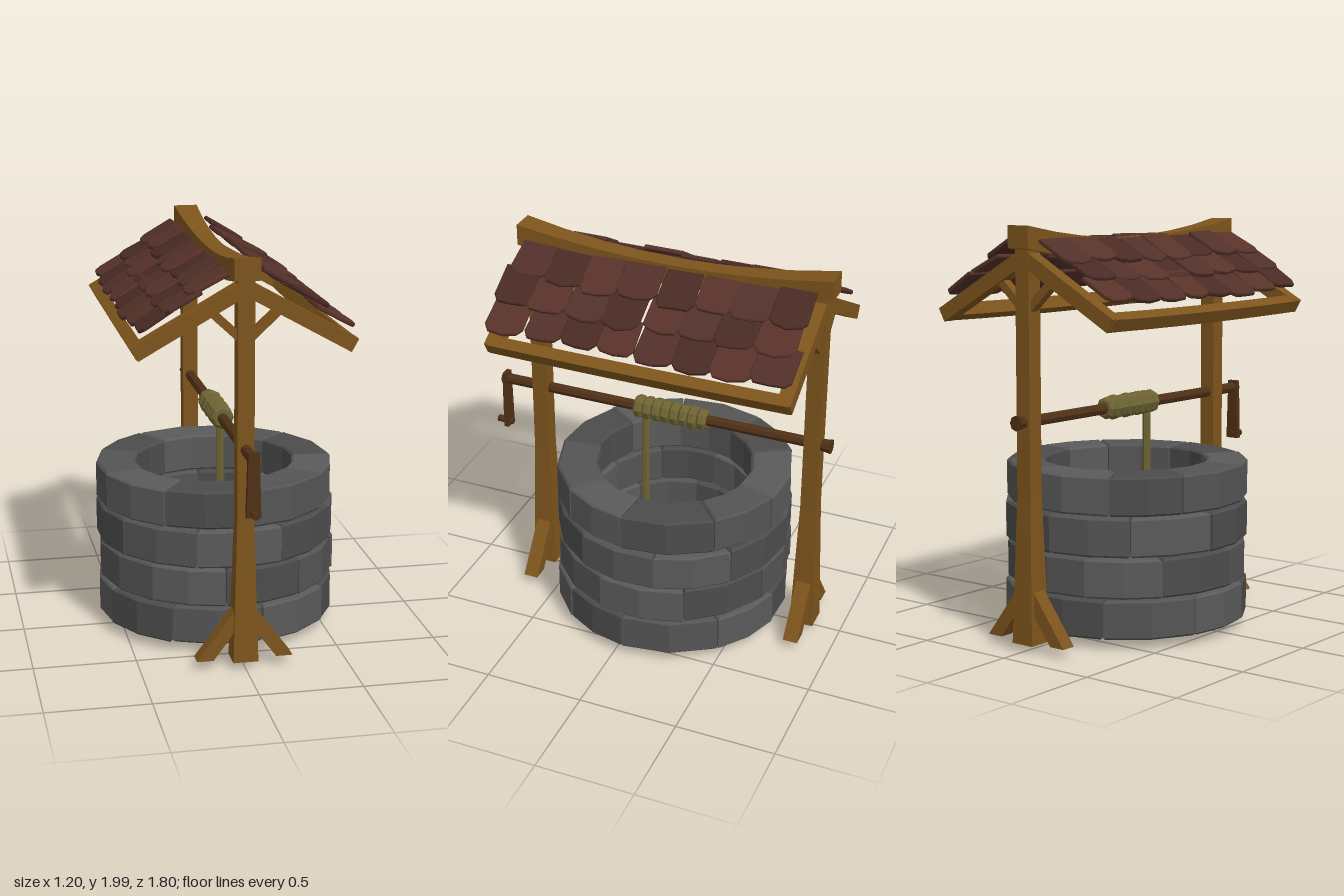
import * as THREE from 'three';

const mat = (color) => new THREE.MeshStandardMaterial({ color, flatShading: true, side: THREE.DoubleSide });
const wood = mat(0x7d541c), darkWood = mat(0x4f3016), ropeMat = mat(0x6e6433);
const stones = [0x545454, 0x4c4c4c, 0x5a5a5a].map(mat);
const tiles = [0x52302a, 0x4a2a25, 0x583229].map(mat);

let seed = 7;
const rnd = (a, b) => {
  seed = (seed * 16807) % 2147483647;
  return a + (b - a) * (seed / 2147483647);
};

function add(parent, name, geo, material) {
  const mesh = new THREE.Mesh(geo, material);
  mesh.name = name;
  parent.add(mesh);
  return mesh;
}

// Move every vertex of a geometry by a rule
function warp(geo, rule) {
  const p = geo.attributes.position, v = new THREE.Vector3();
  for (let i = 0; i < p.count; i++) {
    v.fromBufferAttribute(p, i);
    rule(v);
    p.setXYZ(i, v.x, v.y, v.z);
  }
  geo.computeVertexNormals();
  return geo;
}

// Straight timber between two points of an xy plane at depth z
function timber(parent, name, [x0, y0], [x1, y1], z, w, d) {
  const m = add(parent, name, new THREE.BoxGeometry(w, Math.hypot(x1 - x0, y1 - y0), d), wood);
  m.position.set((x0 + x1) / 2, (y0 + y1) / 2, z);
  m.rotation.z = -Math.atan2(x1 - x0, y1 - y0);
  return m;
}

// Rod along z
function rod(parent, name, r0, r1, zFront, zBack, y, sides, material) {
  const g = new THREE.CylinderGeometry(r0, r1, zFront - zBack, sides).rotateX(Math.PI / 2);
  const m = add(parent, name, g, material);
  m.position.set(0, y, (zFront + zBack) / 2);
  return m;
}

// Bevelled wedge of a stone ring
function stoneBlock(a0, a1, rIn, rOut, height) {
  const steps = 2, s = new THREE.Shape(), bevel = 0.01;
  for (let i = 0; i <= steps; i++) {
    const a = a0 + (a1 - a0) * i / steps;
    s[i ? 'lineTo' : 'moveTo'](Math.cos(a) * rOut, Math.sin(a) * rOut);
  }
  for (let i = steps; i >= 0; i--) {
    const a = a0 + (a1 - a0) * i / steps;
    s.lineTo(Math.cos(a) * rIn, Math.sin(a) * rIn);
  }
  s.closePath();
  return new THREE.ExtrudeGeometry(s, {
    depth: height - 2 * bevel, bevelEnabled: true, bevelSegments: 1,
    bevelSize: bevel, bevelThickness: bevel, bevelOffset: -bevel,
  }).translate(0, 0, bevel).rotateX(-Math.PI / 2);
}

// Roof tile hanging down from y = 0, with a worn lower edge
function tileShape(w, len) {
  const h = w / 2, s = new THREE.Shape();
  s.moveTo(-h * 0.95, 0);
  s.lineTo(-h, -len * 0.82);
  s.lineTo(-h * 0.75, -len * rnd(0.93, 1));
  s.lineTo(0, -len * rnd(0.98, 1.05));
  s.lineTo(h * 0.75, -len * rnd(0.93, 1));
  s.lineTo(h, -len * 0.82);
  s.lineTo(h * 0.95, 0);
  s.closePath();
  return new THREE.ExtrudeGeometry(s, {
    depth: 0.012, bevelEnabled: true, bevelSegments: 1,
    bevelSize: 0.005, bevelThickness: 0.005, bevelOffset: -0.005,
  }).translate(0, 0, -0.017);
}

export function createModel() {
  const root = new THREE.Group();
  root.name = 'well';
  const group = (name) => {
    const g = new THREE.Group();
    g.name = name;
    root.add(g);
    return g;
  };
  const zMid = -0.085;

  // Stone wall: four staggered rings
  const wall = group('stoneWall');
  wall.position.z = zMid;
  const perRing = 9, step = Math.PI * 2 / perRing;
  for (let r = 0; r < 4; r++) {
    const cuts = [];
    for (let i = 0; i < perRing; i++) cuts.push((i + (r % 2) * 0.5 + 0.15 * r) * step + rnd(-0.07, 0.07));
    cuts.push(cuts[0] + Math.PI * 2);
    for (let i = 0; i < perRing; i++) {
      const g = stoneBlock(cuts[i] + 0.004, cuts[i + 1] - 0.004, 0.4 + rnd(-0.008, 0.008), 0.597 + rnd(-0.008, 0.008), 0.188);
      add(wall, 'stoneBlock', g, stones[(i * 2 + r) % 3]).position.y = 0.048 + r * 0.1975;
    }
  }

  // Two end frames: flared post, foot braces, rafters and small rafter braces
  for (const [label, z] of [['front', 0.64], ['back', -0.81]]) {
    const frame = group(label + 'Frame');
    const post = new THREE.BoxGeometry(0.08, 1.86, 0.08, 1, 8, 1).translate(0, 0.965, 0);
    warp(post, (v) => {
      const k = 1 + 0.55 * Math.max(0, 1 - v.y / 0.75);
      v.x *= k;
      v.z *= k;
    });
    add(frame, 'post', post, wood).position.z = z;
    for (const s of [-1, 1]) {
      const foot = timber(frame, 'footBrace', [s * 0.19, 0.05], [s * 0.02, 0.28], z, 0.065, 0.075);
      // cut the foot level with the ground
      foot.updateMatrix();
      const inv = foot.matrix.clone().invert();
      warp(foot.geometry, (v) => {
        const low = v.y < 0;
        v.applyMatrix4(foot.matrix);
        if (low) {
          v.x += s * (v.y - 0.045) * 0.74;
          v.y = 0.045;
        }
        v.applyMatrix4(inv);
      });
      timber(frame, 'rafter', [0, 1.85], [s * 0.515, 1.56], z > 0 ? z : z - 0.005, 0.07, 0.068);
      timber(frame, 'rafterBrace', [s * 0.02, 1.61], [s * 0.18, 1.76], z, 0.04, 0.045);
    }
  }

  // Sagging ridge beam
  const sag = (z) => ((z + 0.08) / 0.8) ** 2;
  const ridge = new THREE.BoxGeometry(0.1, 0.105, 1.6, 1, 1, 8).translate(0, 0, -0.08);
  warp(ridge, (v) => {
    const t = sag(v.z);
    v.x *= 0.9 + 0.32 * t;
    v.y += 1.867 + 0.075 * t;
    v.x -= 0.004;
  });
  add(root, 'ridgeBeam', ridge, wood);

  // Roof sides: eave beam and three overlapping rows of tiles
  const rows = [[0.265, 1.83, 0.2, 0.5], [0.385, 1.75, 0.2, 0.49], [0.51, 1.658, 0.2, 0.53]];
  for (const s of [-1, 1]) {
    const side = group(s > 0 ? 'leftRoof' : 'rightRoof');
    const eave = new THREE.BoxGeometry(0.06, 0.065, 1.5, 1, 1, 6);
    warp(eave, (v) => { v.y -= 0.008 * (1 - (v.z / 0.75) ** 2); });
    const beam = add(side, 'eaveBeam', eave, wood);
    beam.position.set(s * 0.493, 1.574, -0.09);
    beam.rotation.z = -s * 0.51;

    rows.forEach(([x, y, len, pitch], r) => {
      const n = 8, z0 = -0.83 + (r % 2) * 0.03, w = 1.51 / n;
      for (let i = 0; i < n; i++) {
        const p = pitch + rnd(-0.05, 0.05), c = Math.cos(p), k = Math.sin(p);
        const L = len + rnd(-0.008, 0.02);
        const tile = add(side, 'roofTile', tileShape(w * rnd(0.95, 1.1), L), tiles[(i * 2 + r + (s > 0 ? 1 : 0)) % 3]);
        const z = z0 + (i + 0.5) * w + rnd(-0.012, 0.012);
        const up = new THREE.Vector3(-s * c, k, 0), normal = new THREE.Vector3(s * k, c, 0);
        const m = new THREE.Matrix4().makeBasis(up.clone().cross(normal), up, normal);
        tile.quaternion.setFromRotationMatrix(m);
        tile.rotateZ(rnd(-0.05, 0.05));
        tile.position.set(s * (x - c * len), y + k * len + 0.015 * sag(z) + rnd(-0.004, 0.006), z);
      }
    });
  }

  // Windlass: axle, end cap, crank arm and handle
  const windlass = group('windlass');
  rod(windlass, 'axle', 0.027, 0.027, 0.865, -0.86, 1.088, 8, darkWood);
  rod(windlass, 'axleEnd', 0.027, 0.037, -0.84, -0.9, 1.088, 8, darkWood);
  const arm = warp(new THREE.BoxGeometry(0.07, 0.31, 0.026), (v) => { if (v.y > 0) v.x *= 0.75; });
  add(windlass, 'crankArm', arm, darkWood).position.set(0, 0.97, 0.845);
  rod(windlass, 'crankHandle', 0.018, 0.018, 0.905, 0.82, 0.836, 8, darkWood);

  // Rope: bulging coils on the axle and a hanging length
  const rope = group('rope');
  const coils = 8, pitch = 0.385 / coils;
  for (let i = 0; i < coils; i++) {
    const R = 0.058 + rnd(-0.004, 0.004), h = pitch / 2;
    const profile = [[0.025, -h], [R - 0.014, -h], [R, -h * 0.5], [R, h * 0.5], [R - 0.014, h], [0.025, h]];
    const g = new THREE.LatheGeometry(profile.map(([x, y]) => new THREE.Vector2(x, y)), 8).rotateX(Math.PI / 2);
    add(rope, 'ropeCoil', g, ropeMat).position.set(0, 1.09, 0.125 - (i + 0.5) * pitch);
  }
  add(rope, 'hangingRope', new THREE.CylinderGeometry(0.02, 0.02, 1.07, 6), ropeMat).position.set(-0.005, 0.535, 0.075);

  return root;
}
